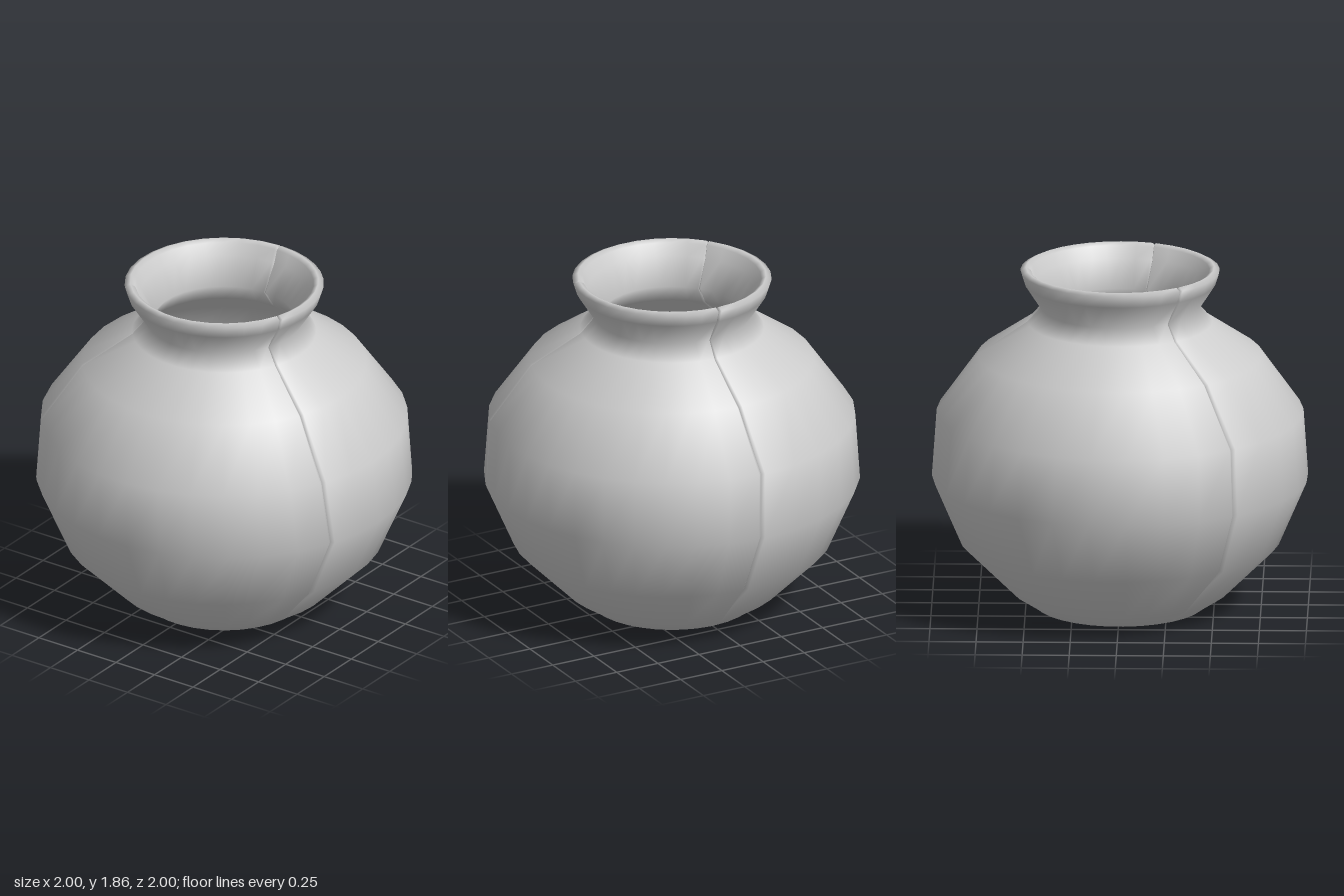
import * as THREE from 'three';

// closed wall section [radius, height]: underside, outside, rim, inside, floor
const profile = [
  [0, 0], [0.43, 0], [0.45, 0.002], [0.47, 0.018], [0.58, 0.09], [0.85, 0.36], [1, 0.71], [0.975, 1.07],
  [0.755, 1.38], [0.49, 1.56], [0.42, 1.64], [0.51, 1.78], [0.53, 1.845], [0.5, 1.86],
  [0.475, 1.845], [0.45, 1.78], [0.37, 1.635], [0.44, 1.53], [0.7, 1.34], [0.92, 1.06],
  [0.945, 0.72], [0.8, 0.39], [0.54, 0.14], [0.42, 0.05], [0, 0.05],
];

// cracks between the shards: base angle in degrees, and [height, shift in degrees]
const cracks = [
  { angle: 0, path: [[0, 0.3], [0.1, 0.5], [0.36, 1.6], [0.71, 0.4], [1.07, -0.5], [1.38, 0.4], [1.64, 0.6], [1.86, 0]] },
  { angle: 111, path: [[0, 0], [0.36, 1], [0.71, -1], [1.07, 1.3], [1.38, 1], [1.56, -0.7], [1.64, 0], [1.78, -0.6], [1.86, -1]] },
  { angle: 231, path: [[0, 0], [0.36, -1], [0.71, 0.3], [1.07, 0], [1.38, 0.5], [1.64, 0.8], [1.86, 0]] },
];

function crackAngle(crack, y) {
  const p = crack.path;
  let i = 0;
  while (i < p.length - 2 && y > p[i + 1][0]) i++;
  const t = (y - p[i][0]) / (p[i + 1][0] - p[i][0]);
  return THREE.MathUtils.degToRad(crack.angle + THREE.MathUtils.lerp(p[i][1], p[i + 1][1], t));
}

// one third of the pot wall, with its two long edges sunk to form grooves
function shardGeometry(from, to, turn) {
  const segments = 11, bevel = 0.018, depth = 0.018;
  const columns = segments + 3;
  const positions = [], index = [];
  profile.forEach(([r, y], i) => {
    const before = profile[Math.max(i - 1, 0)];
    const after = profile[Math.min(i + 1, profile.length - 1)];
    const tr = after[0] - before[0], ty = after[1] - before[1];
    const length = Math.hypot(tr, ty);
    const sink = y > 0.01 && r > 0.43 ? depth : 0;
    const start = crackAngle(from, y), end = crackAngle(to, y) + turn;
    for (let j = 0; j < columns; j++) {
      const edge = j === 0 || j === columns - 1;
      let a = THREE.MathUtils.lerp(start + bevel, end - bevel, (j - 1) / segments);
      if (j === 0) a = start;
      if (j === columns - 1) a = end;
      const rr = edge ? r - sink * ty / length : r;
      const yy = edge ? y + sink * tr / length : y;
      positions.push(rr * Math.cos(a), yy, rr * Math.sin(a));
      if (i < profile.length - 1 && j < columns - 1) {
        const p = i * columns + j, q = p + columns;
        index.push(p, q, p + 1, p + 1, q, q + 1);
      }
    }
  });
  const geometry = new THREE.BufferGeometry();
  geometry.setAttribute('position', new THREE.Float32BufferAttribute(positions, 3));
  geometry.setIndex(index);
  geometry.computeVertexNormals();
  return geometry;
}

export function createModel() {
  const pot = new THREE.Group();
  pot.name = 'crackedPot';
  const clay = new THREE.MeshStandardMaterial({ color: 0xcccccc });
  clay.name = 'plain grey clay';
  const names = ['frontShard', 'leftoverShard', 'backShard'];
  names[1] = 'sideShard';
  cracks.forEach((crack, i) => {
    const last = i === cracks.length - 1;
    const shard = new THREE.Mesh(
      shardGeometry(crack, cracks[(i + 1) % cracks.length], last ? Math.PI * 2 : 0), clay);
    shard.name = names[i];
    pot.add(shard);
  });
  return pot;
}
